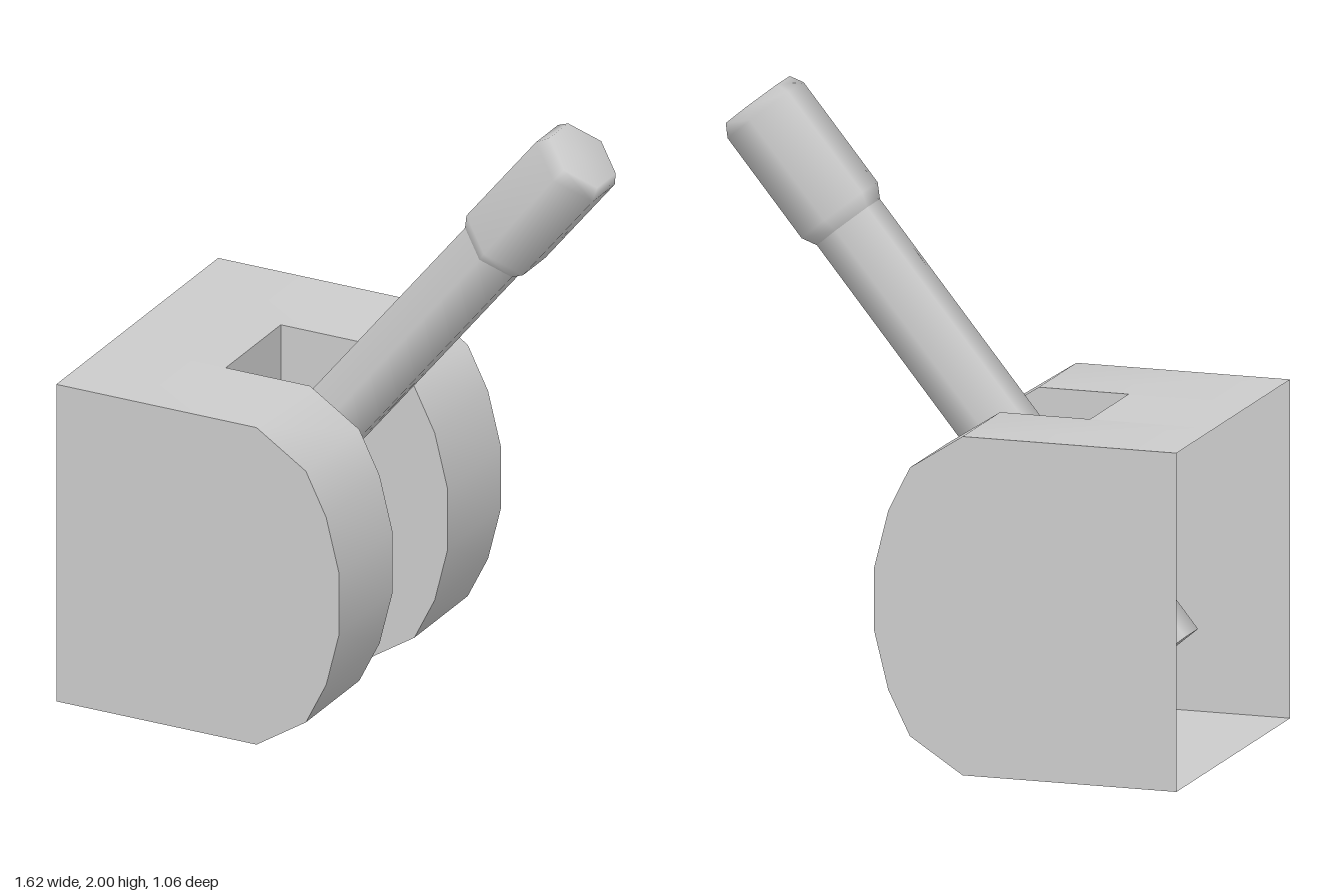
import * as THREE from 'three';
import { toCreasedNormals } from 'three/addons/utils/BufferGeometryUtils.js';

const TOP = 1.06, BACK = -0.81, SLOT = -0.41, HALF = 0.53, GAP = 0.18;

// Faceted round nose, from top to bottom
const NOSE = [
  [-0.12, TOP], [0.05, 0.95], [0.12, 0.81], [0.165, 0.63],
  [0.165, 0.43], [0.12, 0.25], [0.05, 0.11], [-0.12, 0],
];
const outlineFrom = (x) => [[x, TOP], ...NOSE, [x, 0]];

// Sheet swept along z from a profile in the xy plane
function strip(points, z0, z1) {
  const pos = [];
  for (let i = 0; i < points.length - 1; i++) {
    const [ax, ay] = points[i], [bx, by] = points[i + 1];
    pos.push(ax, ay, z1, bx, by, z1, bx, by, z0);
    pos.push(ax, ay, z1, bx, by, z0, ax, ay, z0);
  }
  const g = new THREE.BufferGeometry();
  g.setAttribute('position', new THREE.Float32BufferAttribute(pos, 3));
  return toCreasedNormals(g, 0.65);
}

// Flat wall filling a profile, facing +z or -z
function wall(points, z, facing) {
  const mirror = facing < 0 ? -1 : 1;
  const shape = new THREE.Shape(points.map(([x, y]) => new THREE.Vector2(x * mirror, y)));
  const g = new THREE.ShapeGeometry(shape);
  if (facing < 0) g.rotateY(Math.PI);
  return g.translate(0, 0, z);
}

export function createModel() {
  const model = new THREE.Group();
  model.name = 'leverSwitch';
  const mat = new THREE.MeshStandardMaterial({ color: 0xcccccc });
  const shellMat = new THREE.MeshStandardMaterial({ color: 0xcccccc, side: THREE.DoubleSide });
  const add = (parent, name, geometry, material) => {
    const mesh = new THREE.Mesh(geometry, material);
    mesh.name = name;
    parent.add(mesh);
    return mesh;
  };

  // Hollow housing, open at the -x end, with a slot between two cheeks
  const housing = new THREE.Group();
  housing.name = 'housing';
  model.add(housing);
  for (const s of [1, -1]) {
    const side = s > 0 ? 'left' : 'right';
    const z0 = s > 0 ? GAP : -HALF, z1 = s > 0 ? HALF : -GAP;
    add(housing, side + 'Rim', strip(outlineFrom(BACK), z0, z1), shellMat);
    add(housing, side + 'OuterWall', wall(outlineFrom(BACK), s * HALF, s), shellMat);
    add(housing, side + 'SlotWall', wall(outlineFrom(SLOT), s * GAP, -s), shellMat);
  }
  add(housing, 'topBridge', strip([[BACK, TOP], [SLOT, TOP]], -GAP, GAP), shellMat);
  add(housing, 'bottomBridge', strip([[SLOT, 0], [BACK, 0]], -GAP, GAP), shellMat);
  add(housing, 'slotBackWall', strip([[SLOT, TOP], [SLOT, 0]], -GAP, GAP), shellMat);

  // Tilted six-sided lever; local y runs along its axis
  const lever = new THREE.Group();
  lever.name = 'lever';
  lever.position.set(-0.509, 0.412, 0);
  lever.rotation.z = THREE.MathUtils.degToRad(51 - 90);
  model.add(lever);

  const rodStart = -0.136, rodEnd = 1.5;
  add(lever, 'rod', new THREE.CylinderGeometry(0.12, 0.12, rodEnd - rodStart, 6), mat)
    .position.y = (rodStart + rodEnd) / 2;

  // Grip with tapered ends
  const grip = [[0.12, 1.495], [0.145, 1.54], [0.145, 1.92], [0.122, 1.96], [0, 1.96]];
  add(lever, 'grip', new THREE.LatheGeometry(grip.map(([r, y]) => new THREE.Vector2(r, y)), 6), mat);

  return model;
}
